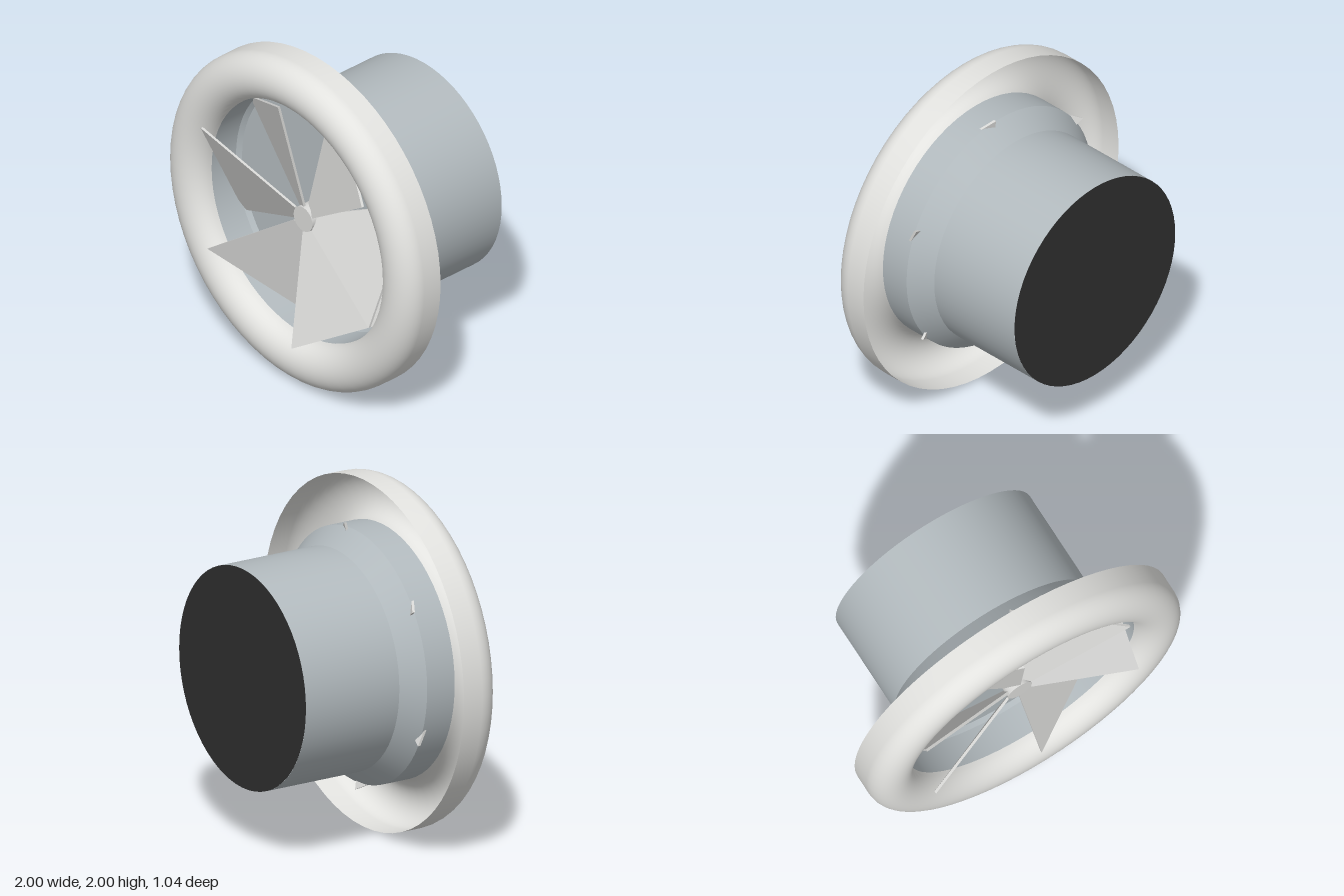
import * as THREE from 'three';

const SEG = 64;
const mat = (name, color, side = THREE.FrontSide) => {
  const m = new THREE.MeshStandardMaterial({ color, side });
  m.name = name;
  return m;
};

export function createModel() {
  const white = mat('rim white', 0xe2e2df, THREE.DoubleSide);
  const light = mat('blade light grey', 0xd9d9d7);
  const grey = mat('housing grey', 0xb2babe, THREE.DoubleSide);
  const dark = mat('outlet black', 0x2e2e2e);

  const model = new THREE.Group();
  model.name = 'ductedFan';
  const fan = new THREE.Group(); // everything turns about the z axis at y = 1
  fan.name = 'fan';
  fan.position.y = 1;
  model.add(fan);

  const add = (name, geometry, material) => {
    const mesh = new THREE.Mesh(geometry, material);
    mesh.name = name;
    fan.add(mesh);
    return mesh;
  };
  // open or closed ring section between two depths
  const section = (name, z0, r0, z1, r1, material, open = true, seg = SEG) => {
    const g = new THREE.CylinderGeometry(r1, r0, z1 - z0, seg, 1, open);
    g.rotateX(Math.PI / 2);
    g.translate(0, 0, (z0 + z1) / 2);
    return add(name, g, material);
  };

  // rounded intake lip: straight skirt outside, half-round over the front, open behind
  const profile = [new THREE.Vector2(1, 0.27)];
  for (let i = 0; i <= 20; i++) {
    const a = (i / 20) * Math.PI;
    profile.push(new THREE.Vector2(0.862 + 0.138 * Math.cos(a), 0.39 + 0.13 * Math.sin(a)));
  }
  const lip = new THREE.LatheGeometry(profile, SEG);
  lip.rotateX(Math.PI / 2);
  add('intakeLip', lip, white);

  // housing: collar, taper and duct
  section('collar', 0.21, 0.724, 0.39, 0.724, grey);
  section('taper', 0.09, 0.63, 0.21, 0.724, grey);
  section('duct', -0.52, 0.63, 0.09, 0.63, grey);

  // inner wall behind the blades
  const wall = add('innerWall', new THREE.CircleGeometry(0.703, SEG), grey);
  wall.position.z = 0.184;

  // black outlet closing the back
  const outlet = add('outlet', new THREE.CircleGeometry(0.63, SEG), dark);
  outlet.rotation.y = Math.PI;
  outlet.position.z = -0.521;

  // hub
  section('hub', 0.184, 0.076, 0.375, 0.076, light, false, 24);

  // six pitched, flaring blades
  const outline = new THREE.Shape([
    new THREE.Vector2(0.07, -0.045), new THREE.Vector2(0.68, -0.33),
    new THREE.Vector2(0.68, 0.33), new THREE.Vector2(0.07, 0.045),
  ]);
  const blade = new THREE.ExtrudeGeometry(outline, { depth: 0.016, bevelEnabled: false });
  const p = blade.attributes.position;
  for (let i = 0; i < p.count; i++) p.setZ(i, p.getZ(i) + 0.337 - 0.48 * p.getY(i));
  blade.computeVertexNormals();
  for (let i = 0; i < 6; i++) add('blade' + (i + 1), blade, light).rotation.z = (i * Math.PI) / 3;

  return model;
}
